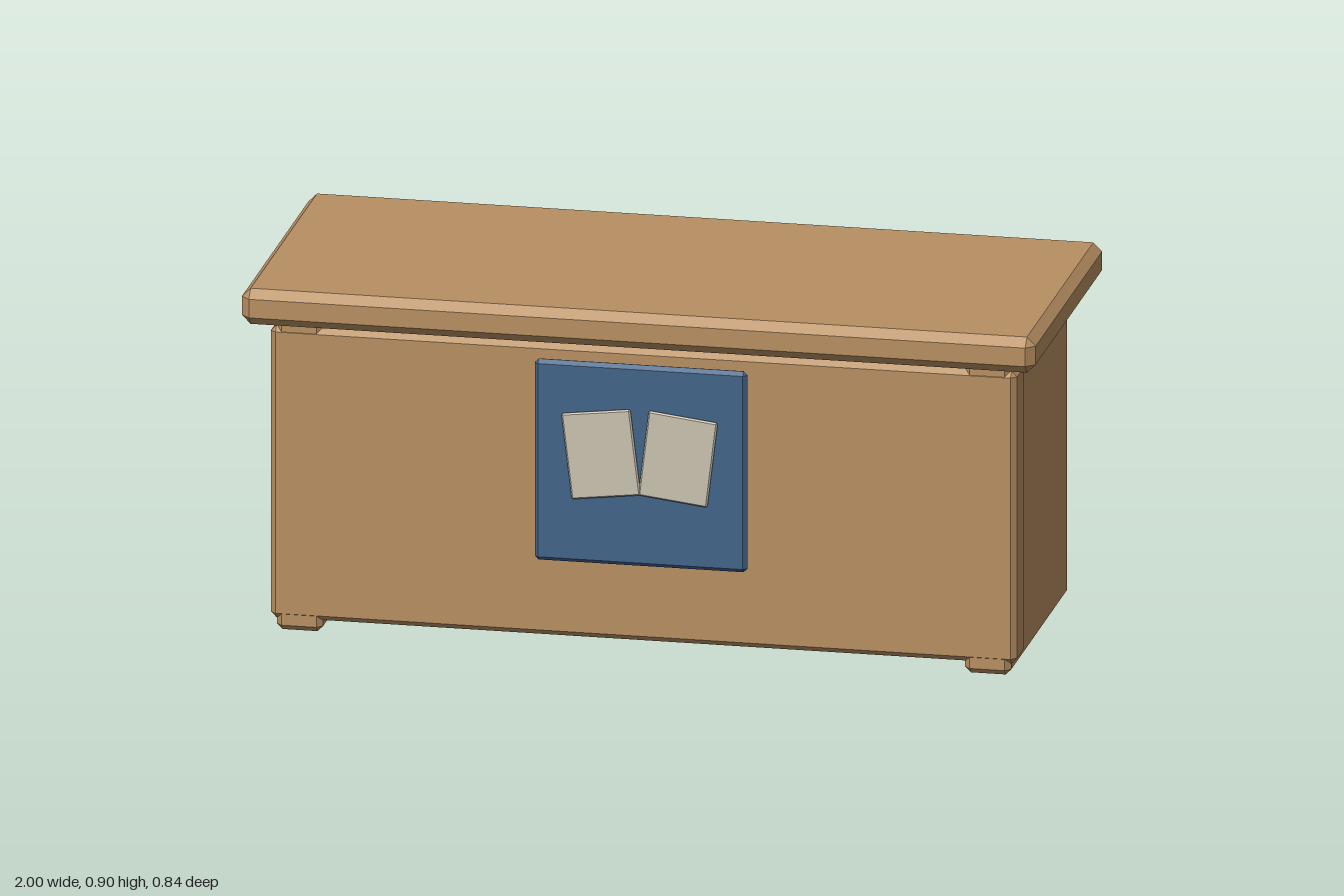
import * as THREE from 'three';
import { ConvexGeometry } from 'three/addons/geometries/ConvexGeometry.js';

const wood = new THREE.MeshStandardMaterial({ name: 'wood', color: 0xb88f62 });
const blue = new THREE.MeshStandardMaterial({ name: 'blue board', color: 0x426489 });
const paper = new THREE.MeshStandardMaterial({ name: 'paper', color: 0xcac2b0 });

// Box with flat chamfers on every edge, given by its lower and upper corners
function chamferBox(name, material, min, max, c) {
  const lo = new THREE.Vector3(...min), hi = new THREE.Vector3(...max);
  const centre = lo.clone().add(hi).multiplyScalar(0.5);
  const half = hi.clone().sub(lo).multiplyScalar(0.5);
  const points = [];
  for (const sx of [-1, 1]) for (const sy of [-1, 1]) for (const sz of [-1, 1]) {
    for (const axis of ['x', 'y', 'z']) {
      // each corner becomes three points, one on each neighbouring face
      const p = half.clone().subScalar(c);
      p[axis] = half[axis];
      points.push(p.multiply(new THREE.Vector3(sx, sy, sz)));
    }
  }
  const mesh = new THREE.Mesh(new ConvexGeometry(points), material);
  mesh.position.copy(centre);
  mesh.name = name;
  return mesh;
}

export function createModel() {
  const desk = new THREE.Group();
  desk.name = 'desk';

  // Main woodwork
  desk.add(chamferBox('deskTop', wood, [-1, 0.804, -0.42], [1, 0.896, 0.42], 0.022));
  desk.add(chamferBox('frontPanel', wood, [-0.94, 0.03, 0.237], [0.94, 0.785, 0.349], 0.014));
  desk.add(chamferBox('drawer', wood, [-0.355, 0.642, -0.305], [0.355, 0.825, -0.21], 0.01));

  // Side panels and the two open pages, mirrored
  for (const s of [-1, 1]) {
    const side = s > 0 ? 'left' : 'right';
    const x = s * 0.867;
    desk.add(chamferBox(side + 'SidePanel', wood,
      [x - 0.058, 0, -0.348], [x + 0.058, 0.83, 0.348], 0.014));

    const page = chamferBox(side + 'Page', paper,
      [-0.0875, -0.111, 0.384], [0.0875, 0.111, 0.394], 0.004);
    page.position.x = s * 0.097;
    page.position.y = 0.521;
    page.rotation.z = -s * 0.12;
    desk.add(page);
  }

  // Board behind the pages
  desk.add(chamferBox('signBoard', blue, [-0.268, 0.233, 0.358], [0.268, 0.752, 0.38], 0.01));

  return desk;
}
